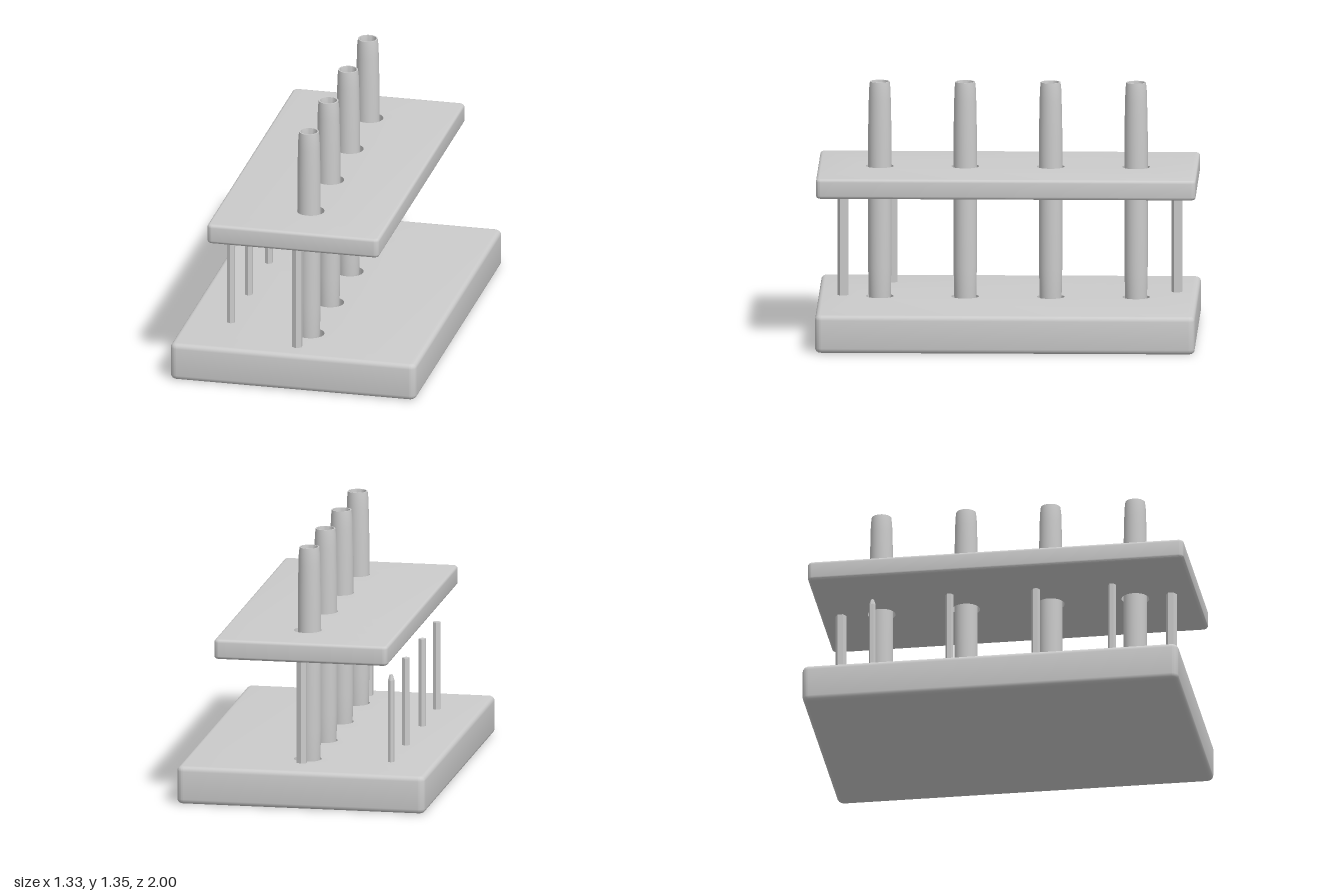
import * as THREE from 'three';
import { toCreasedNormals } from 'three/addons/utils/BufferGeometryUtils.js';

const material = new THREE.MeshStandardMaterial({ color: 0xcccccc });
const flatMaterial = new THREE.MeshStandardMaterial({ color: 0xcccccc, flatShading: true });

const TUBE_X = 0.013;
const TUBE_Z = [-0.675, -0.225, 0.225, 0.675];
const HOLE_X = 0.022;
const HOLE_R = 0.073;

function add(parent, name, geometry, x = 0, y = 0, z = 0, mat = material) {
  const mesh = new THREE.Mesh(geometry, mat);
  mesh.name = name;
  mesh.position.set(x, y, z);
  parent.add(mesh);
  return mesh;
}

// Slab with softened outer edges and crisp round holes
function slab(halfX, halfZ, bottom, top, bevel) {
  const r = bevel + 0.012;
  const shape = new THREE.Shape();
  shape.absarc(halfX - r, halfZ - r, r, 0, Math.PI / 2);
  shape.absarc(-halfX + r, halfZ - r, r, Math.PI / 2, Math.PI);
  shape.absarc(-halfX + r, -halfZ + r, r, Math.PI, Math.PI * 1.5);
  shape.absarc(halfX - r, -halfZ + r, r, Math.PI * 1.5, Math.PI * 2);
  for (const z of TUBE_Z) {
    const hole = new THREE.Path();
    hole.absarc(HOLE_X, z, HOLE_R, 0, Math.PI * 2, true);
    shape.holes.push(hole);
  }
  const geometry = new THREE.ExtrudeGeometry(shape, {
    depth: top - bottom - 2 * bevel, bevelThickness: bevel, bevelSize: bevel,
    bevelOffset: -bevel, bevelSegments: 4, curveSegments: 16,
  });
  geometry.rotateX(Math.PI / 2).translate(0, top - bevel, 0);
  // Undo the bevel around the holes by snapping them back to one radius
  const p = geometry.attributes.position;
  for (let i = 0; i < p.count; i++) {
    for (const z of TUBE_Z) {
      const dx = p.getX(i) - HOLE_X, dz = p.getZ(i) - z;
      const d = Math.hypot(dx, dz);
      if (d < HOLE_R + 0.05) {
        p.setX(i, HOLE_X + dx / d * HOLE_R);
        p.setZ(i, z + dz / d * HOLE_R);
      }
    }
  }
  return toCreasedNormals(geometry, 0.5);
}

// Hollow tube: outer wall up, over the rim, then inside wall down to a round floor
function tubeGeometry() {
  const profile = [
    [0, 0.09], [0.035, 0.1], [0.052, 0.13], [0.058, 0.2], [0.0615, 0.36],
    [0.0615, 1.08], [0.058, 1.25], [0.056, 1.31], [0.052, 1.345],
    [0.045, 1.345], [0.042, 1.32], [0.044, 1.25], [0.046, 1.0],
    [0.044, 0.2], [0.034, 0.15], [0.018, 0.13], [0, 0.125],
  ].map(([x, y]) => new THREE.Vector2(x, y));
  return toCreasedNormals(new THREE.LatheGeometry(profile, 32), 0.7);
}

// Six-sided upright rod
function rod(parent, name, radius, bottom, top, x, z) {
  const geometry = new THREE.CylinderGeometry(radius, radius, top - bottom, 6);
  add(parent, name, geometry, x, (top + bottom) / 2, z, flatMaterial);
}

export function createModel() {
  const rack = new THREE.Group();
  rack.name = 'tubeRack';

  // Base, with plugs that close its sockets from below
  add(rack, 'base', slab(0.665, 1, 0, 0.2, 0.025));
  for (const z of TUBE_Z) {
    add(rack, 'socketFloor', new THREE.CylinderGeometry(HOLE_R + 0.005, HOLE_R + 0.005, 0.1, 32), HOLE_X, 0.05, z);
  }

  // Raised shelf
  add(rack, 'shelf', slab(0.465, 1, 0.79, 0.895, 0.016));

  // Tubes standing through the shelf
  const tube = tubeGeometry();
  for (const z of TUBE_Z) add(rack, 'tube', tube, TUBE_X, 0, z);

  // Posts under the shelf ends; the rear one hangs just clear of the base
  rod(rack, 'frontPost', 0.029, 0.19, 0.8, -0.005, 0.87);
  rod(rack, 'rearPost', 0.029, 0.228, 0.8, 0.012, -0.89);

  // Drying pegs along the right side
  for (const z of [-0.25, 0.21, 0.615]) rod(rack, 'peg', 0.022, 0.19, 0.67, -0.422, z);

  // Last peg is slimmer, with a tapered tip
  rod(rack, 'slimPeg', 0.018, 0.19, 0.64, -0.422, -0.66);
  add(rack, 'slimPegTip', new THREE.CylinderGeometry(0.009, 0.018, 0.03, 6), -0.422, 0.655, -0.66, flatMaterial);

  return rack;
}
